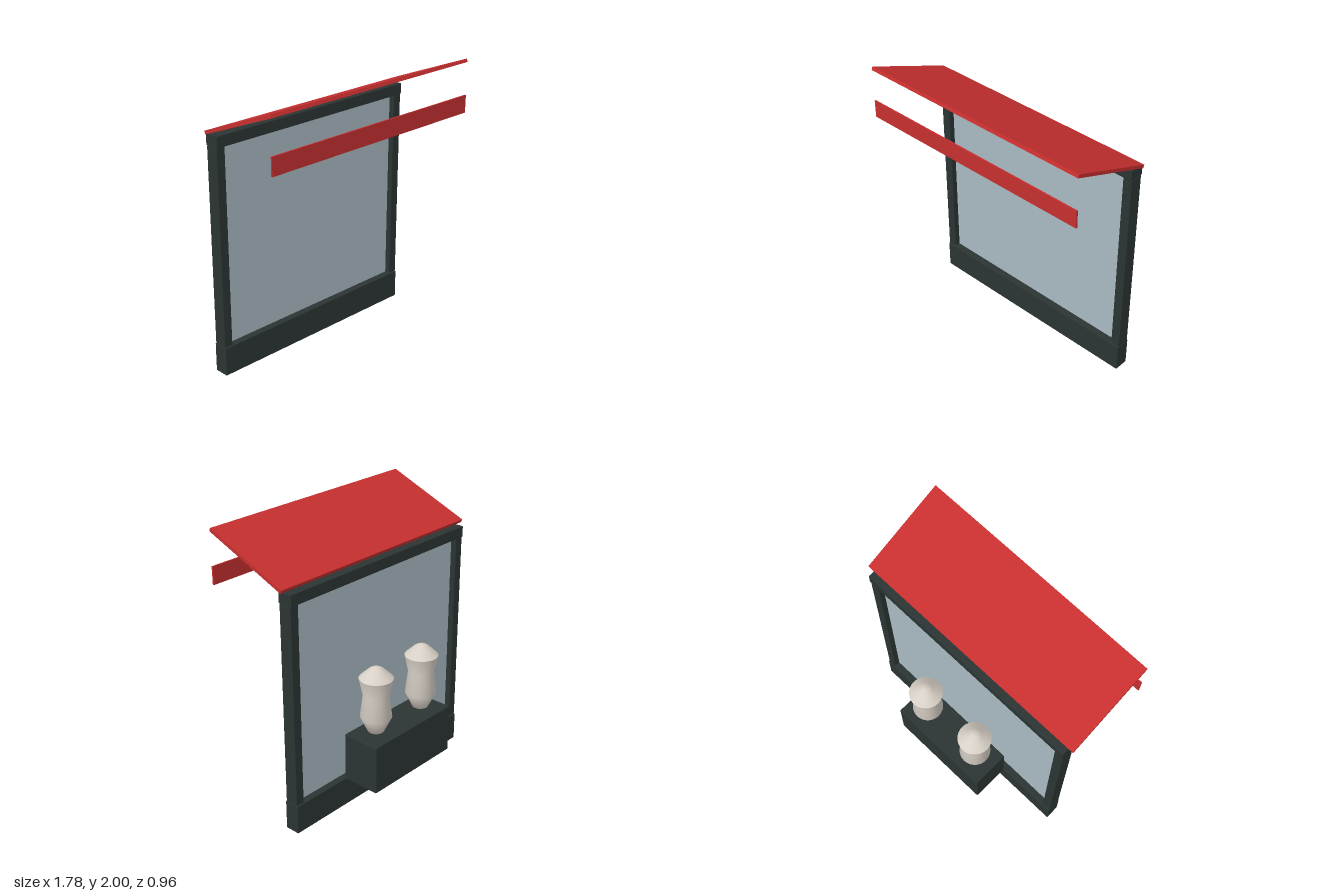
import * as THREE from 'three';
import { RoundedBoxGeometry } from 'three/addons/geometries/RoundedBoxGeometry.js';

export function createModel() {
  const model = new THREE.Group();
  model.name = 'shopWindow';

  const material = (name, color) => {
    const m = new THREE.MeshStandardMaterial({ color });
    m.name = name;
    return m;
  };
  const frameDark = material('frameDark', 0x2b3533);
  const awningRed = material('awningRed', 0xc62f2f);
  const glassBlue = material('glassBlue', 0xa9bac2);
  const bustCream = material('bustCream', 0xd8d0c6);
  bustCream.side = THREE.DoubleSide;

  const add = (name, geometry, mat, x, y, z) => {
    const mesh = new THREE.Mesh(geometry, mat);
    mesh.name = name;
    mesh.position.set(x, y, z);
    model.add(mesh);
    return mesh;
  };
  const rounded = (w, h, d, r = 0.006) => new RoundedBoxGeometry(w, h, d, 2, r);

  // Window frame and pane
  const frameZ = -0.137;
  add('sill', rounded(1.7, 0.213, 0.11), frameDark, 0, 0.1065, frameZ);
  add('lintel', rounded(1.7, 0.082, 0.11), frameDark, 0, 1.681, frameZ);
  add('glassPane', new THREE.BoxGeometry(1.58, 1.44, 0.012), glassBlue, 0, 0.926, frameZ);

  // Sloping awning with its hanging valance
  const awning = add('awning', new THREE.BoxGeometry(1.776, 0.024, 0.67), awningRed, 0, 1.865, 0.163);
  awning.rotation.x = -0.38;
  add('valance', new THREE.BoxGeometry(1.776, 0.126, 0.011), awningRed, 0, 1.682, 0.473);

  // Display plinth behind the glass
  add('plinth', rounded(0.784, 0.354, 0.282, 0.008), frameDark, 0, 0.393, -0.336);

  // Turned display busts: closed body below the rim, faceted dome above it
  const profile = (points) => points.map(([r, y]) => new THREE.Vector2(r, y));
  const body = new THREE.LatheGeometry(profile([
    [0, 0.573], [0.056, 0.588], [0.109, 0.70], [0.09, 0.86], [0.117, 0.985],
  ]), 28);
  const dome = new THREE.LatheGeometry(profile([
    [0.117, 0.985], [0.05, 1.049], [0.022, 1.064], [0, 1.067],
  ]), 28);

  // Mirrored posts and busts
  for (const side of [-1, 1]) {
    const label = side > 0 ? 'left' : 'right';
    add(label + 'Post', rounded(0.068, 1.428, 0.096), frameDark, side * 0.816, 0.927, frameZ);
    add(label + 'BustBody', body, bustCream, side * 0.235, 0, -0.336);
    add(label + 'BustDome', dome, bustCream, side * 0.235, 0, -0.336);
  }

  return model;
}
